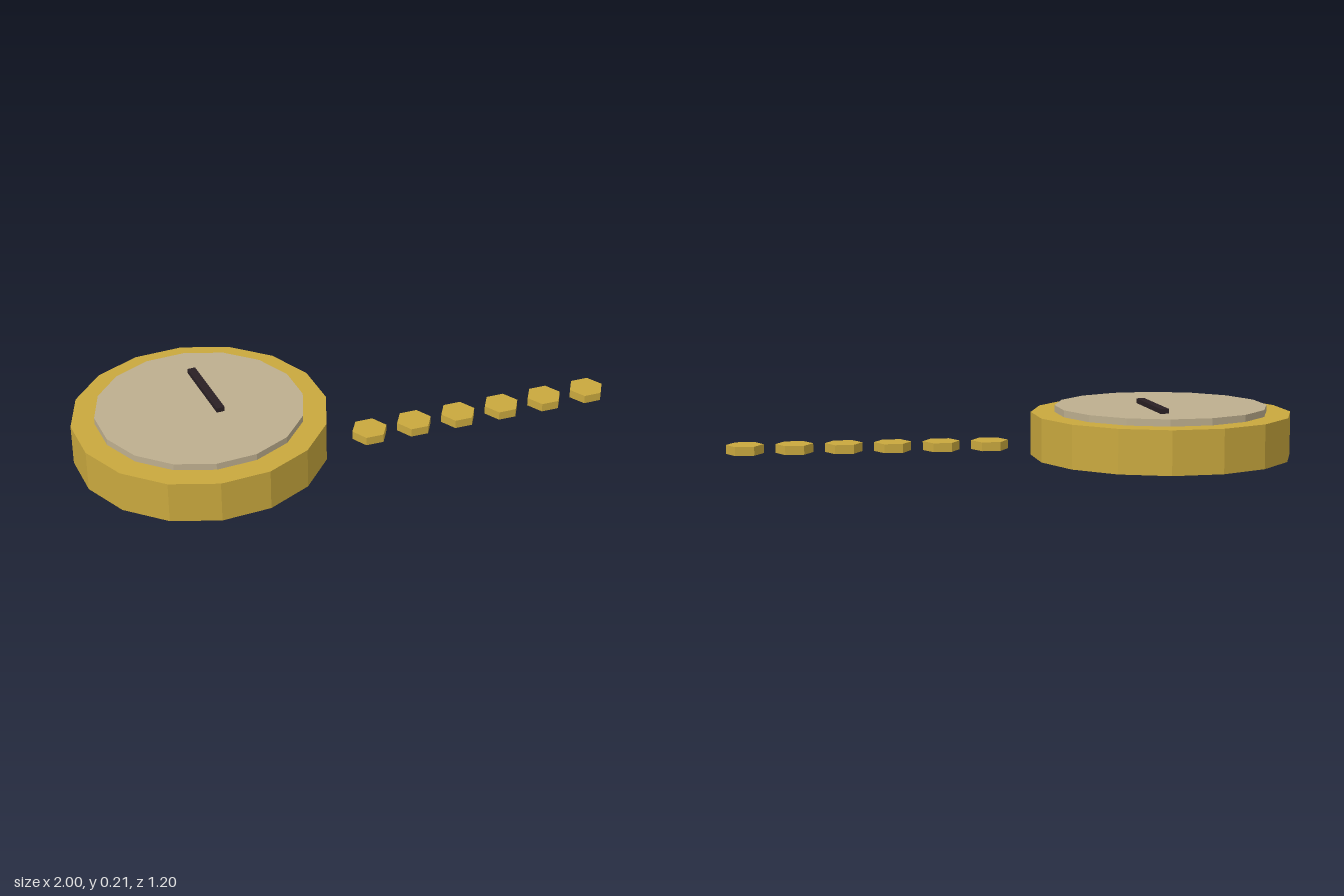
import * as THREE from 'three';

const flat = (name, color) => {
  const m = new THREE.MeshStandardMaterial({ color, flatShading: true });
  m.name = name;
  return m;
};

export function createModel() {
  const gold = flat('gold', 0xc9a83e);
  const dialGrey = flat('warm grey', 0xbdae8e);
  const dark = flat('dark', 0x2a2024);
  const model = new THREE.Group();
  model.name = 'pocketWatch';

  const add = (name, geometry, material, x, y, z, parent = model) => {
    const mesh = new THREE.Mesh(geometry, material);
    mesh.name = name;
    mesh.position.set(x, y, z);
    parent.add(mesh);
    return mesh;
  };

  // Watch case and raised dial
  const cx = -0.506, cz = 0.102;
  add('case', new THREE.CylinderGeometry(0.494, 0.494, 0.164, 16), gold, cx, 0.082, cz);
  add('dial', new THREE.CylinderGeometry(0.403, 0.403, 0.027, 16), dialGrey, cx, 0.1765, cz);

  // Single hand, pointing away from the dial centre
  const hand = add('hand', new THREE.BoxGeometry(0.032, 0.018, 0.318), dark, cx, 0.199, -0.002);
  hand.rotation.y = 0.6;

  // Chain of separate hexagonal links
  const chain = new THREE.Group();
  chain.name = 'chain';
  model.add(chain);
  const linkGeometry = new THREE.CylinderGeometry(0.071, 0.071, 0.034, 6);
  for (let i = 0; i < 6; i++) {
    add(`chainLink${i + 1}`, linkGeometry, gold, 0.125 + i * 0.1627, 0.028, -0.076 - i * 0.0905, chain);
  }

  return model;
}
